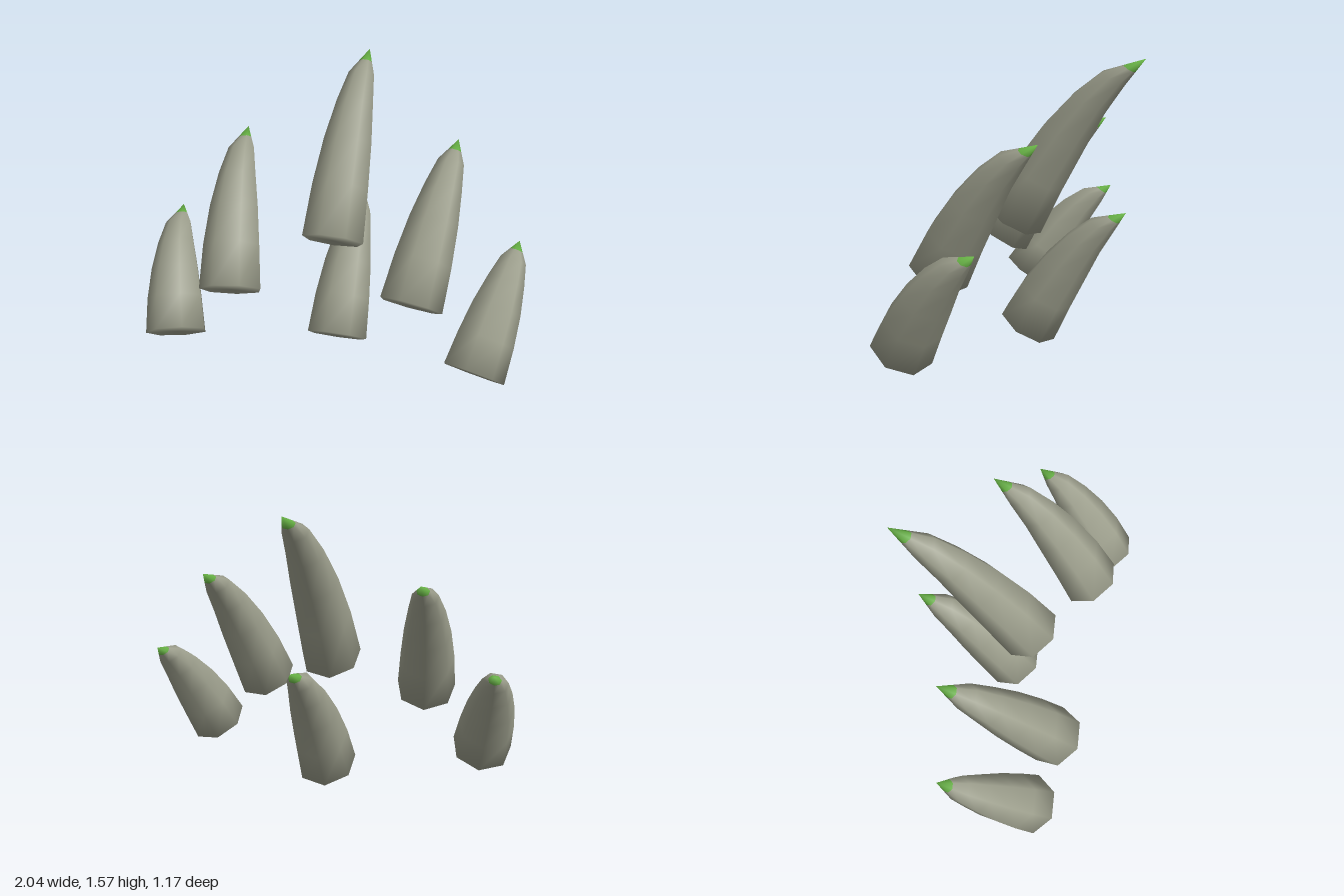
import * as THREE from 'three';

const SIDES = 7;
const RADIUS = 0.168;
const LEAN = -0.547;

// Cross-sections: [fraction of length, fraction of base radius, fraction of backward bend]
const RINGS = [
  [0, 1, 0], [0.25, 0.92, -0.05], [0.48, 0.79, 0.02],
  [0.68, 0.61, 0.17], [0.84, 0.43, 0.43], [0.92, 0.215, 0.715],
];

// Curved seven-sided spike with a smooth-shaded closed base and a pointed end
function spikeGeometry(length) {
  const bend = 0.15 * length;
  const positions = [];
  const index = [];
  for (const [t, r, c] of RINGS) {
    for (let i = 0; i < SIDES; i++) {
      const a = (i / SIDES) * Math.PI * 2;
      positions.push(Math.cos(a) * r * RADIUS, t * length, Math.sin(a) * r * RADIUS - c * bend);
    }
  }
  const tip = positions.length / 3;
  const base = tip + 1;
  positions.push(0, length, -bend, 0, 0, 0);

  // Base cap, then the walls
  for (let i = 0; i < SIDES; i++) index.push(base, i, (i + 1) % SIDES);
  for (let k = 0; k < RINGS.length - 1; k++) {
    for (let i = 0; i < SIDES; i++) {
      const a = k * SIDES + i;
      const b = k * SIDES + (i + 1) % SIDES;
      index.push(a, a + SIDES, b, b, a + SIDES, b + SIDES);
    }
  }
  const bodyCount = index.length;

  // Point
  const last = (RINGS.length - 1) * SIDES;
  for (let i = 0; i < SIDES; i++) index.push(last + i, tip, last + (i + 1) % SIDES);

  const geometry = new THREE.BufferGeometry();
  geometry.setAttribute('position', new THREE.Float32BufferAttribute(positions, 3));
  geometry.setIndex(index);
  geometry.addGroup(0, bodyCount, 0);
  geometry.addGroup(bodyCount, index.length - bodyCount, 1);
  geometry.computeVertexNormals();
  return geometry;
}

export function createModel() {
  const model = new THREE.Group();
  model.name = 'spikeCluster';
  const materials = [
    new THREE.MeshStandardMaterial({ color: 0x9c9e8c }),
    new THREE.MeshStandardMaterial({ color: 0x66b044 }),
  ];

  // name, base centre, length, sideways lean
  const spikes = [
    ['upperCentreSpike', [0, 0.695, 0.15], 1.14, 0],
    ['lowerCentreSpike', [0, 0.095, 0.07], 0.868, 0],
    ['innerLeftSpike', [0.48, 0.475, 0.37], 0.94, -0.15],
    ['innerRightSpike', [-0.475, 0.475, 0.44], 0.94, 0.15],
    ['outerLeftSpike', [0.82, 0.155, 0.405], 0.745, -0.25],
    ['outerRightSpike', [-0.815, 0.168, 0.41], 0.745, 0.25],
  ];
  for (const [name, position, length, roll] of spikes) {
    const spike = new THREE.Mesh(spikeGeometry(length), materials);
    spike.name = name;
    spike.position.set(...position);
    spike.rotation.set(LEAN, 0, roll, 'ZYX');
    model.add(spike);
  }
  return model;
}
